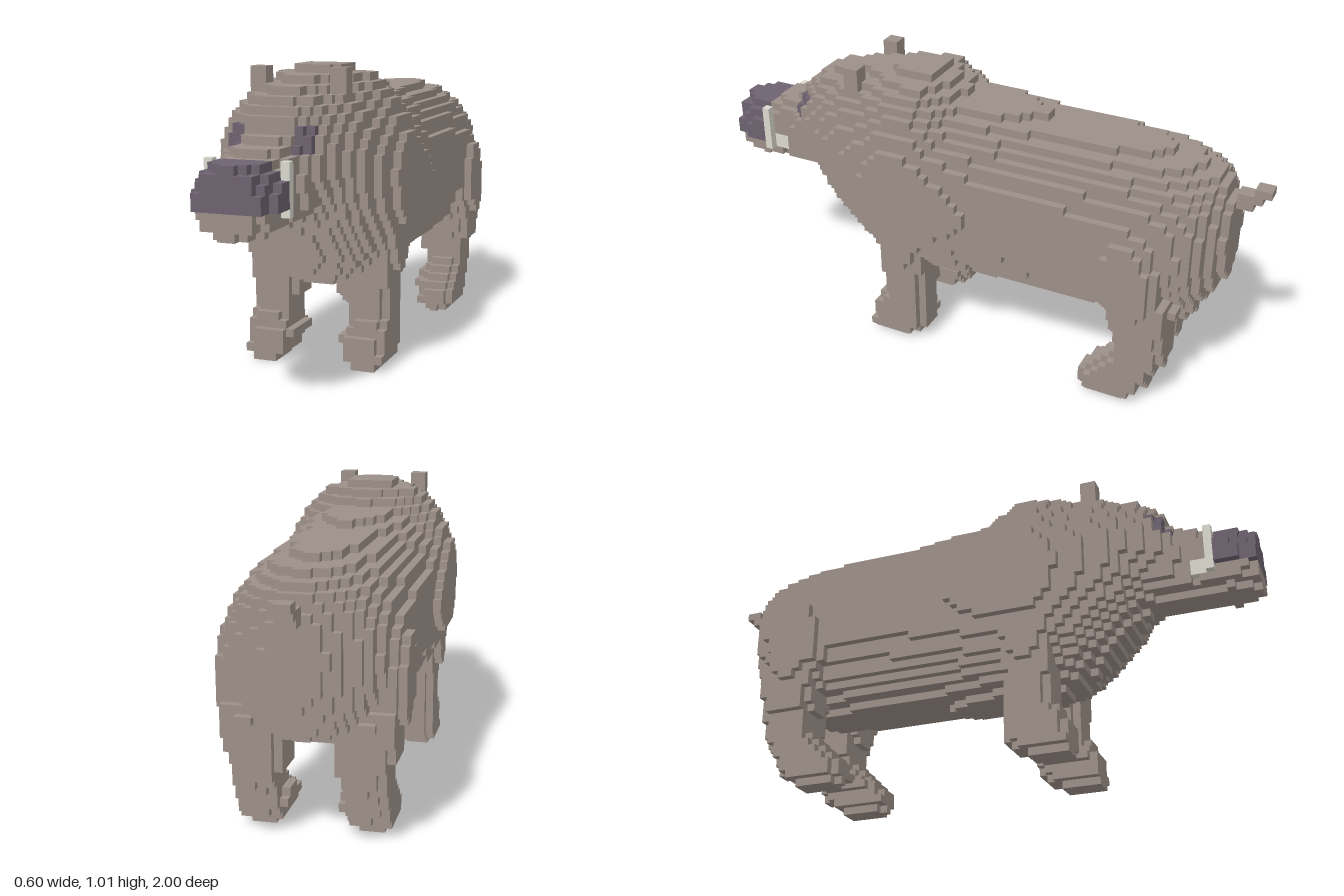
import * as THREE from 'three';

const V = 2 / 73;               // voxel edge
const NX = 11, NY = 37, NZ = 73;

// Sections along the spine: z, top, bottom, half width
const BODY = [
  [-0.89, 0.755, 0.49, 0.075], [-0.86, 0.805, 0.44, 0.125], [-0.83, 0.835, 0.4, 0.175],
  [-0.8, 0.855, 0.37, 0.22], [-0.72, 0.88, 0.335, 0.255], [-0.64, 0.896, 0.31, 0.272],
  [-0.55, 0.905, 0.3, 0.28], [-0.18, 0.92, 0.294, 0.282], [-0.09, 0.935, 0.285, 0.284],
  [0, 0.94, 0.275, 0.29], [0.08, 0.945, 0.272, 0.304], [0.15, 0.985, 0.272, 0.31],
  [0.19, 1.015, 0.272, 0.312], [0.29, 1.015, 0.28, 0.308], [0.35, 1, 0.3, 0.29],
  [0.4, 0.985, 0.33, 0.275], [0.48, 0.975, 0.4, 0.255], [0.54, 0.955, 0.46, 0.23],
  [0.6, 0.945, 0.53, 0.195], [0.66, 0.91, 0.56, 0.17], [0.7, 0.87, 0.565, 0.145],
];
const HEAD = [[0.6, 0.86, 0.56, 0.15], [0.7, 0.835, 0.552, 0.142], [0.735, 0.815, 0.55, 0.125], [0.78, 0.8, 0.548, 0.115], [0.87, 0.775, 0.548, 0.115]];
const SNOUT = [[0.86, 0.775, 0.545, 0.132], [0.92, 0.774, 0.545, 0.132], [0.95, 0.77, 0.548, 0.118], [1, 0.75, 0.565, 0.09]];

// Sections up a leg: y, front z, back z, inner x, outer x
const FRONT_LEG = [
  [0, 0.375, 0.23, 0.132, 0.226], [0.026, 0.375, 0.225, 0.132, 0.226], [0.03, 0.38, 0.2, 0.105, 0.25],
  [0.07, 0.38, 0.15, 0.1, 0.25], [0.085, 0.375, 0.15, 0.08, 0.25], [0.108, 0.37, 0.15, 0.08, 0.25],
  [0.12, 0.355, 0.15, 0.105, 0.25], [0.17, 0.32, 0.15, 0.105, 0.25], [0.218, 0.318, 0.15, 0.105, 0.25],
  [0.224, 0.318, 0.15, 0.078, 0.25], [0.3, 0.32, 0.15, 0.078, 0.255], [0.5, 0.35, 0.11, 0.085, 0.285],
];
const HIND_LEG = [
  [0, -0.465, -0.625, 0.132, 0.226], [0.026, -0.46, -0.63, 0.132, 0.226], [0.03, -0.445, -0.645, 0.105, 0.25],
  [0.07, -0.448, -0.69, 0.1, 0.25], [0.085, -0.465, -0.695, 0.08, 0.25], [0.108, -0.49, -0.705, 0.08, 0.25],
  [0.14, -0.535, -0.715, 0.105, 0.25], [0.2, -0.578, -0.757, 0.105, 0.25], [0.22, -0.578, -0.76, 0.08, 0.252],
  [0.27, -0.575, -0.76, 0.078, 0.255], [0.28, -0.572, -0.76, 0.078, 0.28], [0.42, -0.53, -0.77, 0.085, 0.29],
  [0.45, -0.5, -0.74, 0.09, 0.308], [0.58, -0.495, -0.72, 0.09, 0.308], [0.66, -0.55, -0.67, 0.1, 0.29],
];

// Linear interpolation of a section table, or null outside its range
function section(table, t) {
  for (let i = 0; i < table.length - 1; i++) {
    const a = table[i], b = table[i + 1];
    if (t >= a[0] && t <= b[0]) {
      const f = (t - a[0]) / (b[0] - a[0]);
      return a.map((v, j) => v + (b[j] - v) * f);
    }
  }
  return null;
}

const oval = (u, v, n) => Math.abs(u) ** n + Math.abs(v) ** n <= 1;

const spine = (table, n) => (x, y, z) => {
  const s = section(table, z);
  return s !== null && oval(x / s[3], (y - (s[1] + s[2]) / 2) / ((s[1] - s[2]) / 2), n);
};

const leg = (table, side) => (x, y, z) => {
  const s = section(table, y);
  return s !== null && oval((x * side - (s[3] + s[4]) / 2) / ((s[4] - s[3]) / 2),
    (z - (s[1] + s[2]) / 2) / ((s[1] - s[2]) / 2), 2.7);
};

// Block mirrored on both sides of x = 0
const block = (x0, x1, y0, y1, z0, z1) => (x, y, z) => {
  const ax = Math.abs(x);
  return ax > x0 && ax < x1 && y > y0 && y < y1 && z > z0 && z < z1;
};
const any = (...tests) => (x, y, z) => tests.some((t) => t(x, y, z));
const both = (a, b) => (x, y, z) => a(x, y, z) && b(x, y, z);

// Outward direction and the two in-plane axes of each cube face
const FACES = [];
for (let a = 0; a < 3; a++) {
  for (const s of [1, -1]) {
    const n = [0, 0, 0], u = [0, 0, 0], w = [0, 0, 0];
    n[a] = s;
    u[(a + (s > 0 ? 1 : 2)) % 3] = 1;
    w[(a + (s > 0 ? 2 : 1)) % 3] = 1;
    FACES.push({ n, u, w });
  }
}

export function createModel() {
  const hide = new THREE.MeshStandardMaterial({ name: 'greyBrownHide', color: 0x9c9088 });
  const dark = new THREE.MeshStandardMaterial({ name: 'darkPurpleGrey', color: 0x6e6270 });
  const ivory = new THREE.MeshStandardMaterial({ name: 'ivory', color: 0xdad8ce });

  const body = spine(BODY, 2.08);
  const head = spine(HEAD, 2.5);
  const snout = spine(SNOUT, 2);
  // Later parts replace earlier ones where they overlap
  const parts = [
    ['leftFrontLeg', hide, leg(FRONT_LEG, 1)],
    ['rightFrontLeg', hide, leg(FRONT_LEG, -1)],
    ['leftHindLeg', hide, leg(HIND_LEG, 1)],
    ['rightHindLeg', hide, leg(HIND_LEG, -1)],
    ['body', hide, body],
    ['head', hide, head],
    ['lowerJaw', hide, snout],
    ['snout', dark, both(snout, block(0, 1, 0.63, 1, 0, 1))],
    ['eyes', dark, both(any(body, head), block(0.083, 0.138, 0.765, 0.85, 0.655, 0.735))],
    ['tusks', ivory, any(block(0.108, 0.138, 0.6, 0.77, 0.832, 0.865), block(0.08, 0.112, 0.6, 0.66, 0.78, 0.84))],
    ['ears', hide, block(0.108, 0.166, 0.87, 1.02, 0.43, 0.485)],
    ['tail', hide, any(block(0, 0.03, 0.74, 0.77, -0.945, -0.86), block(0, 0.03, 0.765, 0.8, -0.97, -0.89),
      block(0, 0.03, 0.79, 0.825, -1, -0.94))],
  ];

  // Fill the voxel grid
  const grid = new Set();
  const key = (i, j, k) => (i + 50) * 10000 + (j + 1) * 100 + k + 1;
  const cells = parts.map(() => []);
  for (let i = -NX; i < NX; i++) {
    for (let j = 0; j < NY; j++) {
      for (let k = 0; k < NZ; k++) {
        const x = (i + 0.5) * V, y = (j + 0.5) * V, z = -1 + (k + 0.5) * V;
        const p = parts.findLastIndex((part) => part[2](x, y, z));
        if (p < 0) continue;
        grid.add(key(i, j, k));
        cells[p].push([i, j, k]);
      }
    }
  }

  // One mesh per part, from the exposed cube faces
  const model = new THREE.Group();
  model.name = 'boar';
  parts.forEach(([name, material], p) => {
    const pos = [], nor = [], idx = [];
    for (const c of cells[p]) {
      for (const { n, u, w } of FACES) {
        if (grid.has(key(c[0] + n[0], c[1] + n[1], c[2] + n[2]))) continue;
        const base = pos.length / 3;
        for (const [a, b] of [[0, 0], [1, 0], [1, 1], [0, 1]]) {
          const q = c.map((v, d) => (v + Math.max(n[d], 0) + a * u[d] + b * w[d]) * V);
          pos.push(q[0], q[1], q[2] - 1);
          nor.push(...n);
        }
        idx.push(base, base + 1, base + 2, base, base + 2, base + 3);
      }
    }
    const geometry = new THREE.BufferGeometry();
    geometry.setAttribute('position', new THREE.Float32BufferAttribute(pos, 3));
    geometry.setAttribute('normal', new THREE.Float32BufferAttribute(nor, 3));
    geometry.setIndex(idx);
    const mesh = new THREE.Mesh(geometry, material);
    mesh.name = name;
    model.add(mesh);
  });
  return model;
}
